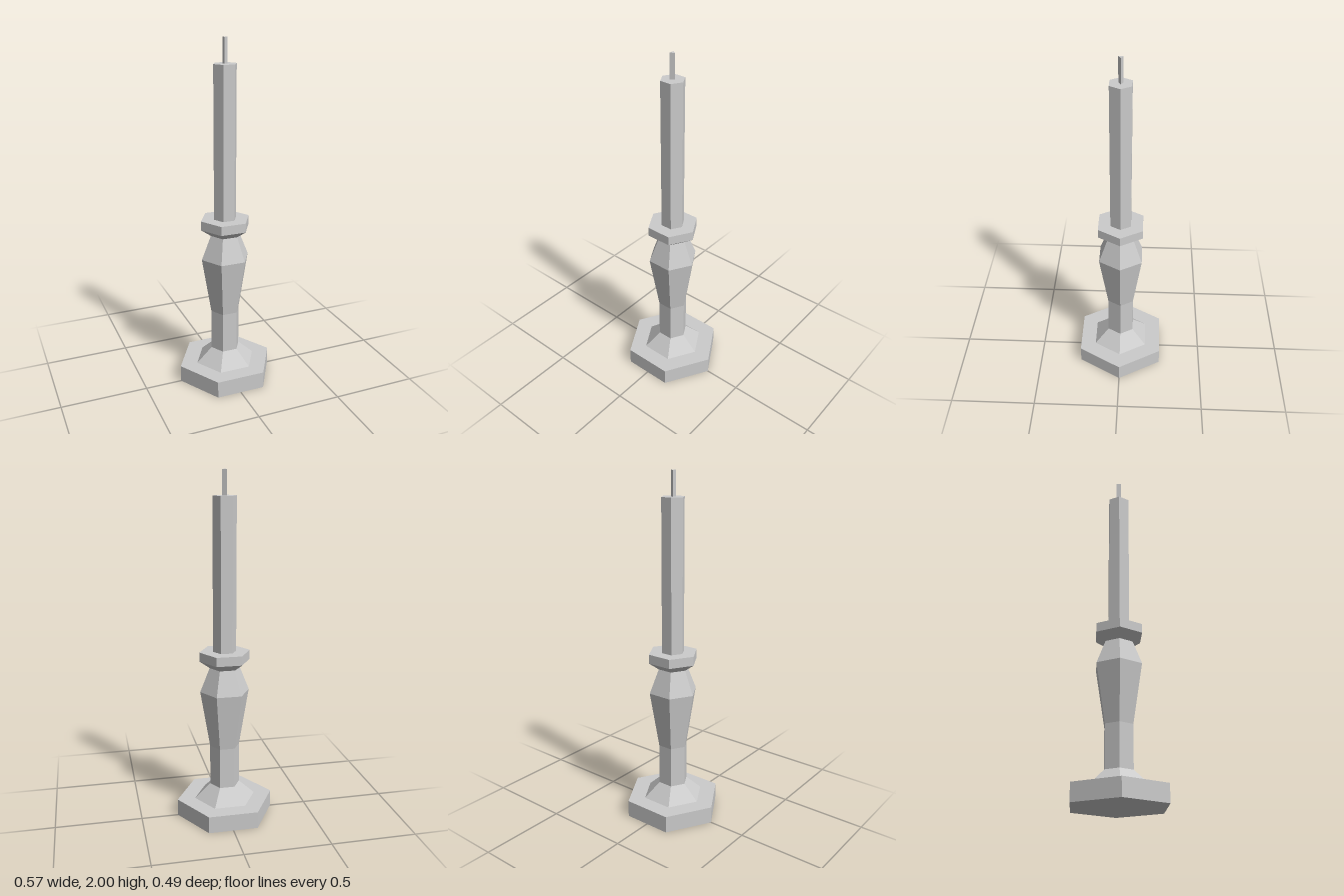
import * as THREE from 'three';

const material = new THREE.MeshStandardMaterial({ color: 0xcccccc, flatShading: true });

// Faceted turned part with a corner on the +x axis; profile of [radius, y] from bottom to top
function turned(name, profile, sides) {
  const points = profile.map(([r, y]) => new THREE.Vector2(r, y));
  const mesh = new THREE.Mesh(new THREE.LatheGeometry(points, sides, Math.PI / 2), material);
  mesh.name = name;
  return mesh;
}

export function createModel() {
  const group = new THREE.Group();
  group.name = 'candlestick';

  // Hexagonal foot slab
  group.add(turned('foot', [[0, 0], [0.285, 0], [0.285, 0.1], [0, 0.1]], 6));

  // Flared collar, straight neck and swelling baluster
  group.add(turned('stem', [
    [0.18, 0.1], [0.087, 0.187], [0.087, 0.43], [0.143, 0.765], [0.087, 0.905],
  ], 6));

  // Cup holding the candle
  group.add(turned('cup', [[0.087, 0.905], [0.146, 0.947], [0.146, 1], [0, 1]], 6));

  // Candle
  group.add(turned('candle', [[0.067, 1], [0.067, 1.863], [0, 1.863]], 6));

  // Three-sided wick
  const wick = turned('wick', [[0.0153, 1.863], [0.0153, 2], [0, 2]], 3);
  wick.position.x = -0.001;
  group.add(wick);

  return group;
}
